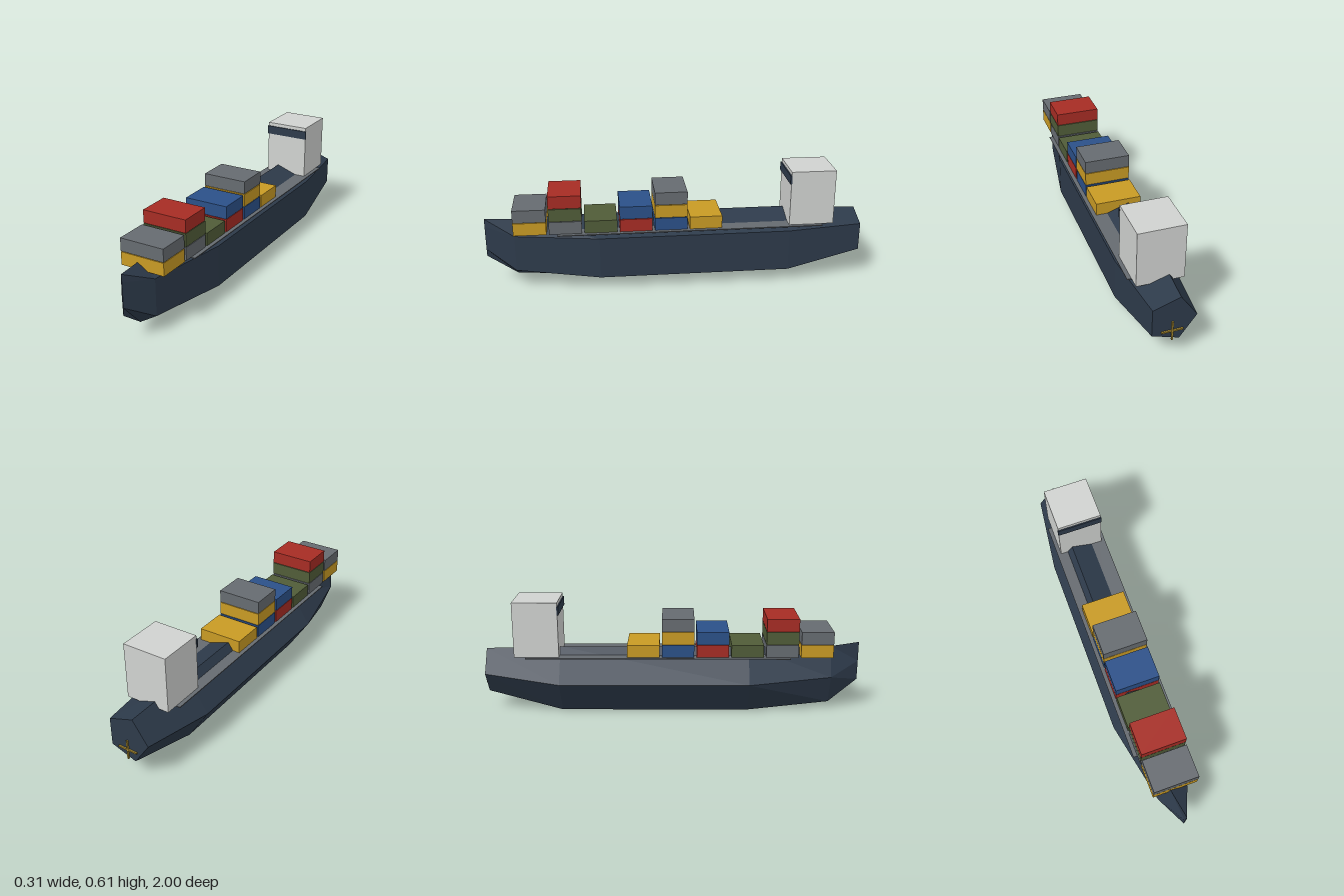
import * as THREE from 'three';

export function createModel() {
  const ship = new THREE.Group();
  ship.name = 'cargoShip';

  const mat = (name, color) => {
    const m = new THREE.MeshStandardMaterial({ color, flatShading: true });
    m.name = name;
    return m;
  };
  const navy = mat('navy', 0x2d3a4a);
  const grey = mat('grey', 0x666b70);
  const yellow = mat('yellow', 0xc89a24);
  const red = mat('red', 0xa62c24);
  const blue = mat('blue', 0x2b5088);
  const green = mat('green', 0x505c38);
  const white = mat('white', 0xd0d2d0);
  const brass = mat('brass', 0xa88a30);

  const CX = 0.0145; // centreline of the ship

  function box(name, material, w, h, d, x, y, z) {
    const mesh = new THREE.Mesh(new THREE.BoxGeometry(w, h, d), material);
    mesh.name = name;
    mesh.position.set(x, y, z);
    ship.add(mesh);
    return mesh;
  }

  // Hull: five-sided rings lofted from bow to stern [z, centre y, radius x, radius y]
  const stations = [
    [1.0, 0.265, 0.003, 0.11],
    [0.845, 0.197, 0.085, 0.165],
    [0.405, 0.18, 0.17, 0.188],
    [-0.595, 0.18, 0.17, 0.188],
    [-0.99, 0.225, 0.12, 0.126],
  ];
  const SIDES = 5;
  const points = [];
  const faces = [];
  for (const [z, cy, rx, ry] of stations) {
    for (let j = 0; j < SIDES; j++) {
      const a = ((j + 0.5) / SIDES) * Math.PI * 2;
      points.push(CX + rx * Math.cos(a), cy + ry * Math.sin(a), z);
    }
  }
  for (let i = 0; i < stations.length - 1; i++) {
    for (let j = 0; j < SIDES; j++) {
      const a = i * SIDES + j;
      const b = i * SIDES + ((j + 1) % SIDES);
      const c = a + SIDES;
      const d = b + SIDES;
      faces.push(a, c, b, b, c, d);
    }
  }
  // Bow and stern caps
  const last = (stations.length - 1) * SIDES;
  for (let j = 1; j < SIDES - 1; j++) {
    faces.push(0, j, j + 1);
    faces.push(last, last + j + 1, last + j);
  }
  const indexed = new THREE.BufferGeometry();
  indexed.setAttribute('position', new THREE.Float32BufferAttribute(points, 3));
  indexed.setIndex(faces);
  const hullGeometry = indexed.toNonIndexed();
  hullGeometry.computeVertexNormals();
  const hull = new THREE.Mesh(hullGeometry, navy);
  hull.name = 'hull';
  ship.add(hull);

  // Deck plate, pierced by the hull ridge
  box('deck', grey, 0.278, 0.005, 1.39, CX, 0.3155, -0.075);

  // Container stacks from bow to stern, bottom tier first
  const stacks = [
    [yellow, grey],
    [grey, green, red],
    [green],
    [red, blue],
    [blue, yellow, grey],
    [yellow],
  ];
  stacks.forEach((tiers, i) => {
    tiers.forEach((material, k) => {
      box('container', material, 0.237, 0.067, 0.169, CX, 0.351 + k * 0.0702, 0.76 - i * 0.1825);
    });
  });

  // Bridge tower and its window band
  box('bridge', white, 0.237, 0.293, 0.236, CX, 0.4645, -0.714);
  box('bridgeWindow', navy, 0.243, 0.046, 0.009, CX, 0.5685, -0.594);

  // Propeller: two crossed blades on the stern
  box('propellerBlade', brass, 0.105, 0.008, 0.008, CX, 0.162, -0.995);
  box('propellerBlade', brass, 0.008, 0.105, 0.008, CX, 0.162, -0.995);

  return ship;
}
